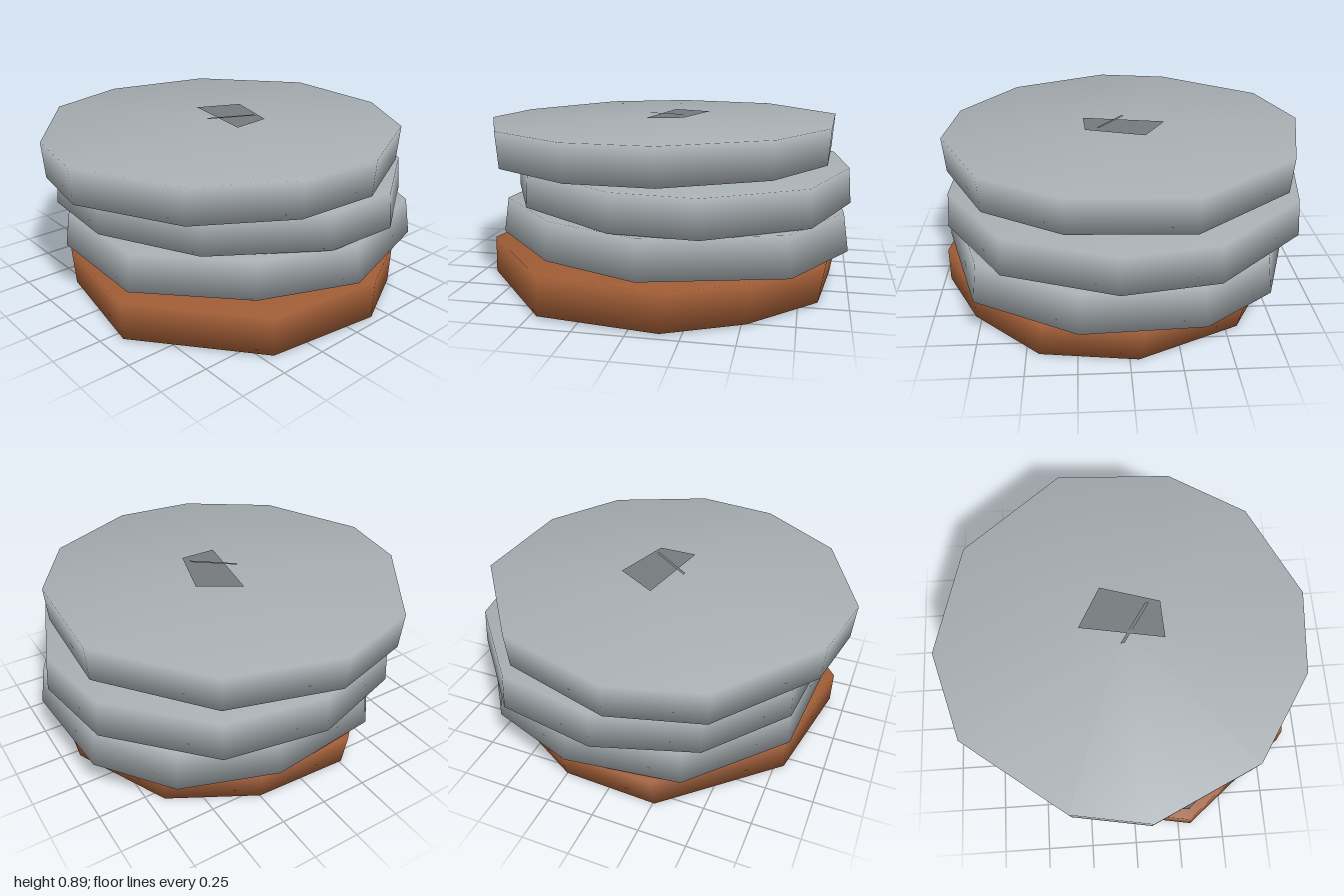
import * as THREE from 'three';

const grey = new THREE.MeshStandardMaterial({ color: 0xa6adb1 });
grey.name = 'stone grey';
const brown = new THREE.MeshStandardMaterial({ color: 0x9c5a34 });
brown.name = 'clay brown';
const dark = new THREE.MeshStandardMaterial({ color: 0x74797c, side: THREE.DoubleSide });
dark.name = 'dark grey';

function surface(name, positions, index, material) {
  const g = new THREE.BufferGeometry();
  g.setAttribute('position', new THREE.Float32BufferAttribute(positions, 3));
  g.setIndex(index);
  g.computeVertexNormals();
  const mesh = new THREE.Mesh(g, material);
  mesh.name = name;
  return mesh;
}

// Irregular slab: rim outline of [x, z], tilted top and bottom, shared smooth normals
function slab({ name, rim, top, bottom, dome = 0.015, topScale = 1, bottomScale = 1, shift = [0, 0], material }) {
  const n = rim.length;
  const height = ([y, sx, sz], x, z) => y + sx * x + sz * z;
  const pos = [];
  for (const [x, z] of rim) {
    pos.push(x * topScale, height(top, x, z), z * topScale);
  }
  for (const [x, z] of rim) {
    const bx = x * bottomScale + shift[0], bz = z * bottomScale + shift[1];
    pos.push(bx, height(bottom, x, z), bz);
  }
  pos.push(0, top[0] + dome, 0, 0, bottom[0] - 0.007, 0);
  const index = [];
  for (let i = 0; i < n; i++) {
    const j = (i + 1) % n;
    index.push(2 * n, j, i, i, j, n + i, j, n + j, n + i, 2 * n + 1, n + i, n + j);
  }
  return surface(name, pos, index, material);
}

export function createModel() {
  const model = new THREE.Group();
  model.name = 'slabStack';

  // Four rough slabs from the ground up; top and bottom are [height, slope in x, slope in z]
  const slabs = [
    {
      name: 'baseSlab', material: brown,
      rim: [[0.96, -0.17], [0.88, 0.45], [0.30, 0.915], [-0.35, 0.80], [-0.86, 0.25],
        [-0.84, -0.27], [-0.60, -0.70], [-0.07, -0.945], [0.42, -0.88], [0.77, -0.55]],
      top: [0.207, 0.003, 0], bottom: [0.012, 0.004, 0.003],
      bottomScale: 0.98, shift: [0.025, 0.015],
    },
    {
      name: 'lowerSlab', material: grey,
      rim: [[0.96, -0.04], [0.76, 0.45], [0.30, 0.86], [-0.36, 0.82], [-0.82, 0.40],
        [-0.89, -0.20], [-0.72, -0.68], [-0.36, -0.95], [0.24, -0.99], [0.75, -0.72]],
      top: [0.426, 0.016, 0.004], bottom: [0.231, 0.018, 0.01], topScale: 0.97,
    },
    {
      name: 'middleSlab', material: grey,
      rim: [[0.05, -1.0], [0.60, -0.80], [0.91, -0.32], [0.90, 0.10], [0.56, 0.62], [0.06, 0.86],
        [-0.42, 0.82], [-0.82, 0.50], [-0.975, 0], [-0.88, -0.52], [-0.42, -0.93]],
      top: [0.64, -0.008, 0.016], bottom: [0.45, -0.005, 0.014], topScale: 0.985,
    },
    {
      name: 'topSlab', material: grey,
      rim: [[-0.31, -0.91], [0.30, -0.88], [0.70, -0.63], [0.94, -0.13], [0.90, 0.31], [0.61, 0.75],
        [0.07, 1.0], [-0.33, 0.93], [-0.85, 0.54], [-0.985, 0.08], [-0.83, -0.50]],
      top: [0.856, 0, -0.01], bottom: [0.668, 0, -0.012], bottomScale: 0.985,
    },
  ];
  for (const s of slabs) model.add(slab(s));

  // Small pinched chip lying on the top slab
  model.add(surface('topChip', [
    -0.24, 0.879, 0, -0.12, 0.885, -0.215, 0.19, 0.885, -0.12, 0.20, 0.879, 0.08, 0, 0.88, -0.04,
  ], [4, 1, 0, 4, 2, 1, 4, 3, 2, 4, 0, 3], dark));

  // Thin sliver across the chip
  model.add(surface('topSliver', [
    -0.03, 0.882, 0.10, -0.01, 0.882, 0.10, 0.13, 0.893, -0.11, 0.11, 0.893, -0.11,
  ], [0, 1, 2, 0, 2, 3], dark));

  return model;
}
